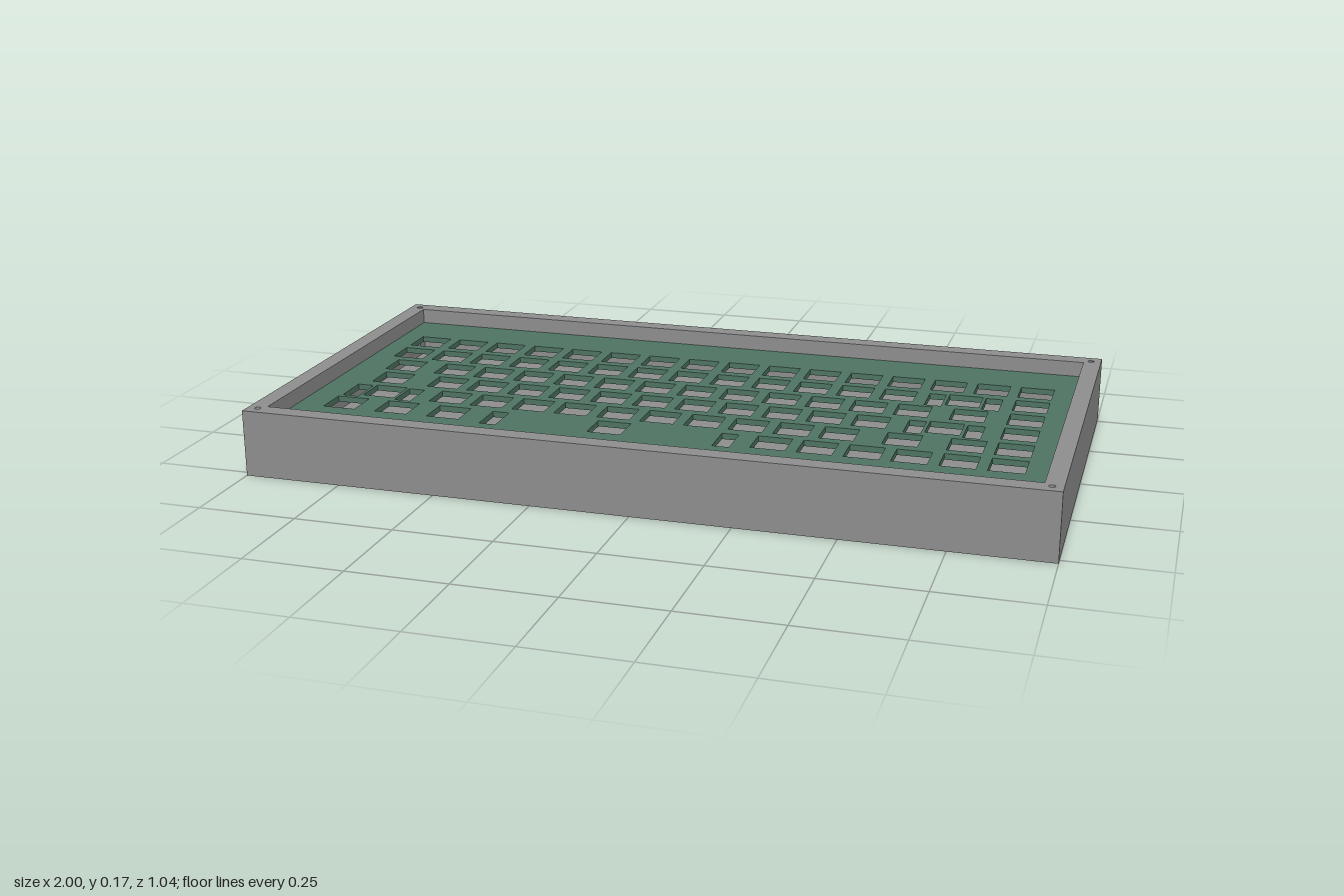
import * as THREE from 'three';

const W = 1, D = 0.52, H = 0.17;        // outer half width, half depth, height
const IW = 0.955, ID = 0.473;           // inner half width, half depth
const FLOOR = 0.04, PLATE_TOP = 0.13, PLATE_T = 0.015;
const U = 0.1137, X0 = -0.853, Z0 = -0.291; // key pitch and first key centre

const range = (start, n) => Array.from({ length: n }, (_, i) => start + i);

// Key centres of each row, in key units from the first key
const rows = [
  range(0, 16),
  [...range(0, 13), 13.5, 15],
  [0.25, ...range(1.5, 12), 13.75, 15],
  [0.375, ...range(1.75, 11), 13.375, 15],
  [0.625, ...range(2.25, 10), 12.625, 14, 15],
  [0.125, 1.375, 2.625, 6.375, ...range(10, 6)],
];
// Stabiliser slots beside the long keys: row, centre, half spacing
const stabilisers = [[1, 13.5, 0.073], [3, 13.375, 0.073], [4, 0.625, 0.073], [5, 6.375, 0.3]];

function rect(P, cx, cy, w, h) {
  const p = new P();
  p.moveTo(cx - w / 2, cy - h / 2);
  p.lineTo(cx + w / 2, cy - h / 2);
  p.lineTo(cx + w / 2, cy + h / 2);
  p.lineTo(cx - w / 2, cy + h / 2);
  p.closePath();
  return p;
}

// Upright extrusion of a plan drawn in x and -z
function slab(shape, y, height) {
  const g = new THREE.ExtrudeGeometry(shape, { depth: height, bevelEnabled: false, curveSegments: 8 });
  return g.rotateX(-Math.PI / 2).translate(0, y, 0);
}

function addScrewHoles(shape, r) {
  for (const sx of [-1, 1]) for (const sz of [-1, 1]) {
    const hole = new THREE.Path();
    hole.absarc(sx * 0.973, sz * 0.49, r, 0, Math.PI * 2, true);
    shape.holes.push(hole);
  }
}

export function createModel() {
  const group = new THREE.Group();
  const caseGrey = new THREE.MeshStandardMaterial({ color: 0x909090 });
  caseGrey.name = 'case grey';
  const plateGreen = new THREE.MeshStandardMaterial({ color: 0x4f7563 });
  plateGreen.name = 'plate green';

  const add = (name, geometry, material) => {
    const mesh = new THREE.Mesh(geometry, material);
    mesh.name = name;
    group.add(mesh);
  };

  // Case floor with wider screw holes underneath
  const floor = rect(THREE.Shape, 0, 0, 2 * W, 2 * D);
  addScrewHoles(floor, 0.012);
  add('caseFloor', slab(floor, 0, FLOOR), caseGrey);

  // Three walls and the corners, open along the -x side
  const walls = new THREE.Shape([
    [-W, -D], [W, -D], [W, D], [-W, D], [-W, ID], [IW, ID], [IW, -ID], [-W, -ID],
  ].map(([x, y]) => new THREE.Vector2(x, y)));
  addScrewHoles(walls, 0.008);
  add('caseWalls', slab(walls, FLOOR, H - FLOOR), caseGrey);

  // Side wall with the rounded cable port
  const side = rect(THREE.Shape, 0, (FLOOR + H) / 2, 2 * ID, H - FLOOR);
  const port = new THREE.Path(), r = 0.014, pz = -0.405, py = 0.072;
  port.absarc(pz + 0.02, py, r, -Math.PI / 2, Math.PI / 2, false);
  port.absarc(pz - 0.02, py, r, Math.PI / 2, Math.PI * 1.5, false);
  port.closePath();
  side.holes.push(port);
  const sideGeometry = new THREE.ExtrudeGeometry(side, { depth: W - IW, bevelEnabled: false, curveSegments: 8 });
  add('portWall', sideGeometry.rotateY(-Math.PI / 2).translate(-IW, 0, 0), caseGrey);

  // Switch plate with key cutouts and stabiliser slots
  const plate = rect(THREE.Shape, 0, 0, 2 * IW, 2 * ID);
  rows.forEach((keys, row) => keys.forEach((k) => {
    plate.holes.push(rect(THREE.Path, X0 + k * U, -(Z0 + row * U), 0.086, 0.086));
  }));
  for (const [row, k, offset] of stabilisers) for (const s of [-1, 1]) {
    plate.holes.push(rect(THREE.Path, X0 + k * U + s * offset, -(Z0 + row * U + 0.01), 0.043, 0.094));
  }
  add('switchPlate', slab(plate, PLATE_TOP - PLATE_T, PLATE_T), plateGreen);

  return group;
}
